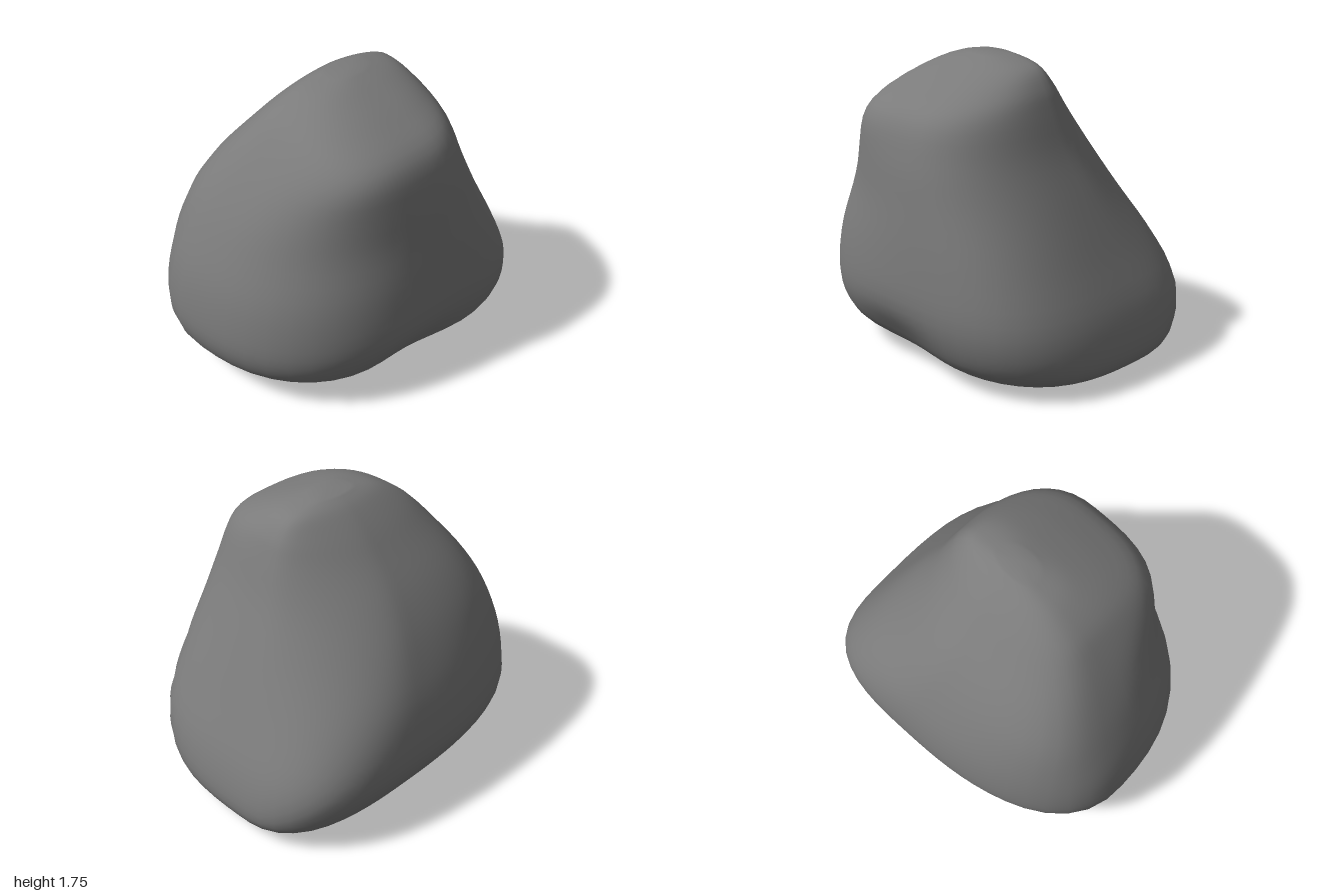
import * as THREE from 'three';

// Outline from bottom to top: height, left, right, back, front
const OUTLINE = [
  [0.025, -0.42, 0.52, -0.24, 0.28],
  [0.045, -0.68, 0.78, -0.45, 0.50],
  [0.10, -0.86, 0.93, -0.58, 0.65],
  [0.20, -0.96, 1.00, -0.71, 0.75],
  [0.40, -1.00, 0.96, -0.80, 0.805],
  [0.70, -0.96, 0.82, -0.76, 0.795],
  [1.00, -0.845, 0.68, -0.64, 0.765],
  [1.25, -0.71, 0.565, -0.495, 0.73],
  [1.47, -0.56, 0.485, -0.325, 0.655],
  [1.60, -0.44, 0.43, -0.215, 0.46],
  [1.70, -0.27, 0.34, -0.11, 0.25],
  [1.745, -0.09, 0.16, -0.03, 0.13],
];
const SEGMENTS = 56, STEPS = 4;

const bump = (v, centre, width) => Math.exp(-(((v - centre) / width) ** 2));

// Smooth interpolation through the outline
function outlineAt(t) {
  const last = OUTLINE.length - 1;
  const i = Math.min(Math.floor(t), last - 1), u = t - i;
  const at = k => OUTLINE[THREE.MathUtils.clamp(k, 0, last)];
  const [p, q, r, s] = [at(i - 1), at(i), at(i + 1), at(i + 2)];
  return q.map((v, k) => {
    const m0 = (r[k] - p[k]) / 2, m1 = (s[k] - v) / 2, d = r[k] - v;
    return v + u * (m0 + u * (3 * d - 2 * m0 - m1 + u * (m0 + m1 - 2 * d)));
  });
}

// Squareness of each corner, changing with height
function squareness(h, toRight, toFront) {
  if (toFront && toRight) return 2.35 + bump(h, 0.5, 0.45);
  if (toFront) return 2.5 - 0.25 * bump(h, 1, 0.25) + 0.8 * bump(h, 1.47, 0.18);
  if (toRight) return 1.65 + 1.65 * bump(h, 0.35, 0.42);
  return 2.4 + bump(h, 1.2, 0.35);
}

// A point on one cross-section
function surfacePoint([h, left, right, back, front], angle) {
  const { smoothstep } = THREE.MathUtils;
  const cx = 0.13 - 0.1 * smoothstep(h, 0.7, 1.5);
  const cz = -0.18 * (1 - smoothstep(h, 0.5, 1.6)) + 0.02;
  const c = Math.cos(angle), s = Math.sin(angle);
  const n = squareness(h, c >= 0, s >= 0);
  const a = c >= 0 ? right - cx : cx - left;
  const b = s >= 0 ? front - cz : cz - back;
  const radius = (Math.abs(c / a) ** n + Math.abs(s / b) ** n) ** (-1 / n);
  const x = cx + c * radius;
  // shallow hollow low in the front
  const hollow = 0.075 * Math.max(s, 0) * bump(x, -0.1, 0.33) * bump(h, 0.17, 0.17);
  // underside tilts down towards +x
  const y = h - 0.045 * x * (1 - smoothstep(h, 0.05, 0.5));
  return [x, Math.max(y, 0), cz + s * radius - hollow];
}

export function createModel() {
  const positions = [], indices = [];
  const rings = (OUTLINE.length - 1) * STEPS + 1;
  for (let i = 0; i < rings; i++) {
    const section = outlineAt(i / STEPS);
    for (let j = 0; j < SEGMENTS; j++) {
      positions.push(...surfacePoint(section, (j / SEGMENTS) * Math.PI * 2));
    }
  }

  // centre points that close the bottom and the top
  const bottom = positions.length / 3, top = bottom + 1, rim = (rings - 1) * SEGMENTS;
  positions.push(0.1, 0.015, 0, 0.04, 1.755, 0.06);

  for (let j = 0; j < SEGMENTS; j++) {
    const k = (j + 1) % SEGMENTS;
    for (let row = 0; row < rim; row += SEGMENTS) {
      const a = row + j, b = row + k;
      indices.push(a, a + SEGMENTS, b, b, a + SEGMENTS, b + SEGMENTS);
    }
    indices.push(bottom, j, k, top, rim + k, rim + j);
  }

  const geometry = new THREE.BufferGeometry();
  geometry.setAttribute('position', new THREE.Float32BufferAttribute(positions, 3));
  geometry.setIndex(indices);
  geometry.computeVertexNormals();

  const rock = new THREE.Mesh(geometry, new THREE.MeshStandardMaterial({ color: 0x7b7b7b }));
  rock.name = 'rock';
  const group = new THREE.Group();
  group.name = 'boulder';
  group.add(rock);
  return group;
}
